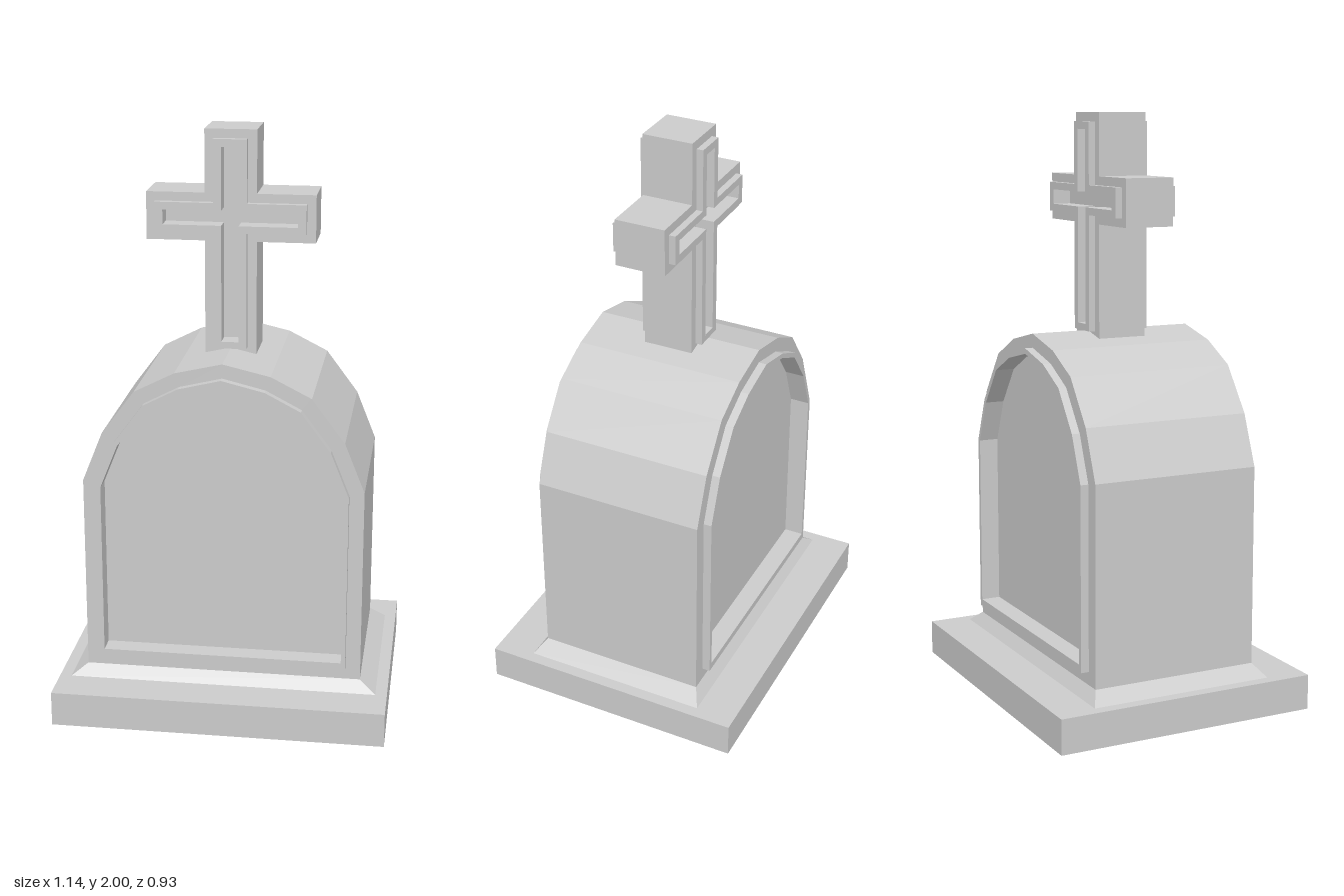
import * as THREE from 'three';

const material = new THREE.MeshStandardMaterial({ color: 0xcccccc, flatShading: true });

// Right half of an outline (bottom to top), mirrored into a closed list of points
function mirrored(half) {
  const right = half.map(([x, y]) => new THREE.Vector2(x, y));
  const left = half.filter(([x]) => x > 0).reverse().map(([x, y]) => new THREE.Vector2(-x, y));
  return [...right, ...left];
}

// Extrudes an outline symmetrically about z = 0, with an optional hole
function slab(name, outline, halfDepth, hole) {
  const shape = new THREE.Shape(outline);
  if (hole) shape.holes.push(new THREE.Path(hole));
  const geometry = new THREE.ExtrudeGeometry(shape, { depth: 2 * halfDepth, bevelEnabled: false });
  geometry.translate(0, 0, -halfDepth);
  const mesh = new THREE.Mesh(geometry, material);
  mesh.name = name;
  return mesh;
}

// A block with a raised rim and a sunken panel on both its front and back
function panelledBlock(name, outer, rimOuter, rimInner, depth, rimDepth, panelDepth) {
  const group = new THREE.Group();
  group.name = name;
  group.add(
    slab(name + 'Shell', outer, depth, rimOuter),
    slab(name + 'Rim', rimOuter, rimDepth, rimInner),
    slab(name + 'Panel', rimOuter, panelDepth)
  );
  return group;
}

// Cross outline: half widths of post and arms, then the heights
function crossOutline(post, arm, bottom, armLow, armHigh, top) {
  return mirrored([
    [post, bottom], [post, armLow], [arm, armLow],
    [arm, armHigh], [post, armHigh], [post, top]
  ]);
}

export function createModel() {
  const model = new THREE.Group();
  model.name = 'gravestone';

  // Base slab
  const base = new THREE.Mesh(new THREE.BoxGeometry(1.14, 0.12, 0.925), material);
  base.name = 'base';
  base.position.y = 0.06;
  model.add(base);

  // Sloped plinth: a box narrowed at the top
  const plinthGeometry = new THREE.BoxGeometry(1.06, 0.04, 0.65);
  const p = plinthGeometry.attributes.position;
  for (let i = 0; i < p.count; i++) {
    if (p.getY(i) > 0) {
      p.setX(i, Math.sign(p.getX(i)) * 0.475);
      p.setZ(i, Math.sign(p.getZ(i)) * 0.295);
    }
  }
  plinthGeometry.computeVertexNormals();
  const plinth = new THREE.Mesh(plinthGeometry, material);
  plinth.name = 'plinth';
  plinth.position.y = 0.14;
  model.add(plinth);

  // Arched stone
  const arch = mirrored([[0.475, 0.16], [0.475, 0.84], [0.407, 1.01], [0.296, 1.159], [0.16, 1.228], [0, 1.265]]);
  const archRim = mirrored([[0.425, 0.205], [0.425, 0.83], [0.363, 0.985], [0.263, 1.12], [0.144, 1.182], [0, 1.217]]);
  const archInner = mirrored([[0.41, 0.23], [0.41, 0.827], [0.35, 0.976], [0.253, 1.107], [0.138, 1.166], [0, 1.198]]);
  model.add(panelledBlock('stone', arch, archRim, archInner, 0.295, 0.323, 0.255));

  // Cross on top
  model.add(panelledBlock(
    'cross',
    crossOutline(0.087, 0.283, 1.245, 1.63, 1.79, 2),
    crossOutline(0.056, 0.253, 1.267, 1.66, 1.76, 1.97),
    crossOutline(0.029, 0.225, 1.29, 1.685, 1.735, 1.945),
    0.087, 0.11, 0.045
  ));

  return model;
}
